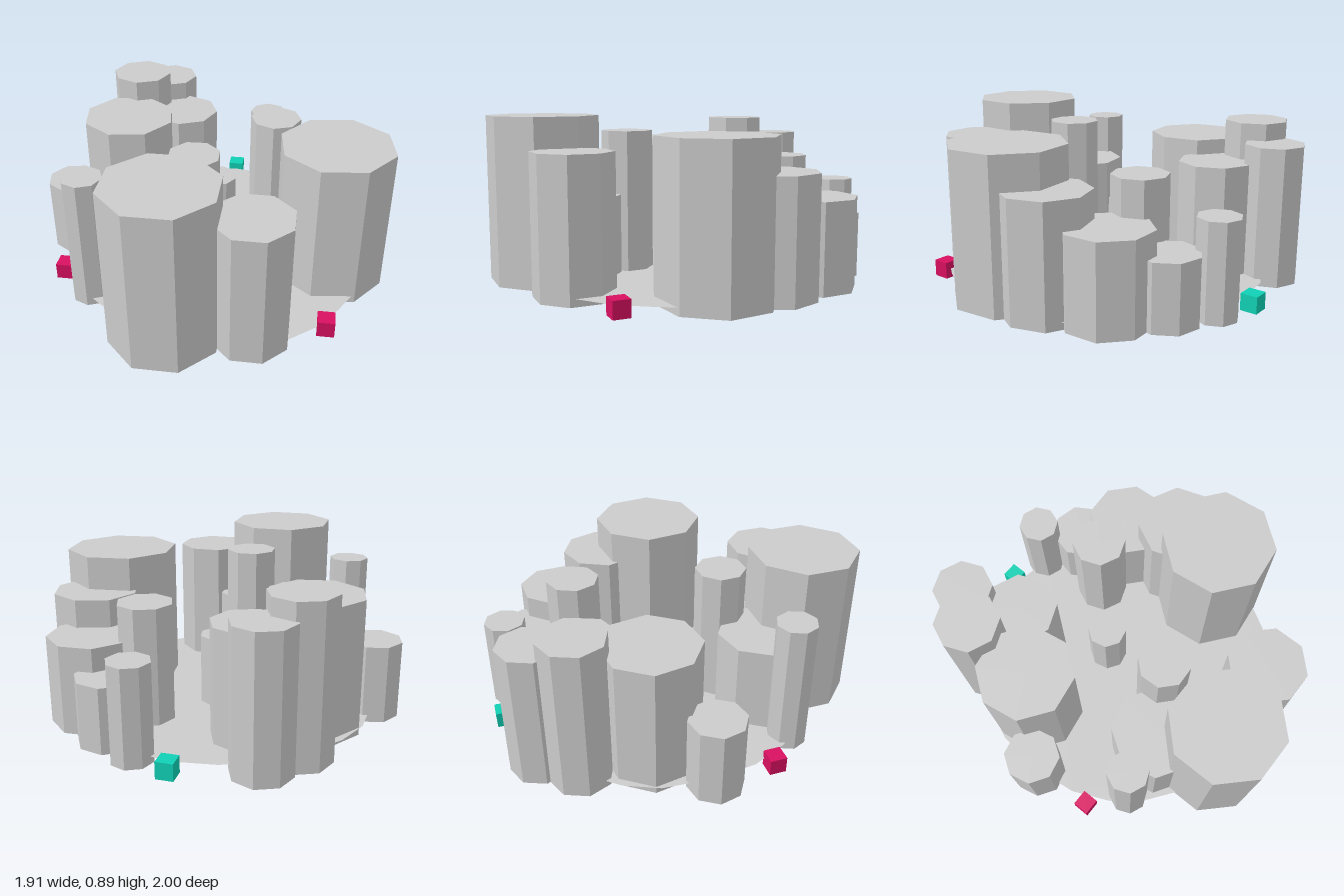
import * as THREE from 'three';

const BOTTOM = 0.01;
const PLATE_Y = 0.05;

// Each column: x, z, radius, top height, turn in degrees
const COLUMNS = [
  [-0.147, 0.72, 0.298, 0.89, 22.5],
  [0.28, 0.685, 0.21, 0.73, 22.5],
  [0.657, 0.087, 0.307, 0.815, 15.6],
  [0.698, -0.196, 0.234, 0.635, 4],
  [0.6, -0.495, 0.23, 0.485, 19.5],
  [0.42, -0.71, 0.168, 0.36, -9],
  [0.235, -0.87, 0.112, 0.52, -3],
  [0.307, -0.465, 0.148, 0.675, 2],
  [0, -0.165, 0.108, 0.43, 11],
  [-0.063, 0.275, 0.138, 0.805, 20],
  [-0.53, -0.265, 0.26, 0.73, 13],
  [-0.53, -0.64, 0.172, 0.845, 0],
  [-0.39, -0.825, 0.16, 0.755, 0],
  [-0.26, -0.55, 0.2, 0.65, 0],
  [-0.81, -0.02, 0.15, 0.43, 10],
  [-0.6, 0.47, 0.108, 0.745, 0],
  [-0.305, 0.435, 0.247, 0.525, 10],
  [-0.01, 0.54, 0.195, 0.47, 22.5],
];

// Ground outline as x, z
const OUTLINE = [
  [0.02, -0.91], [0.25, -0.87], [0.48, -0.78], [0.68, -0.62], [0.8, -0.42],
  [0.83, -0.15], [0.83, 0.15], [0.79, 0.36], [0.72, 0.48], [0.62, 0.62],
  [0.47, 0.74], [0.25, 0.8], [0, 0.82], [-0.24, 0.78], [-0.42, 0.68],
  [-0.58, 0.56], [-0.7, 0.41], [-0.79, 0.21], [-0.82, -0.02], [-0.8, -0.3],
  [-0.72, -0.48], [-0.58, -0.65], [-0.42, -0.78], [-0.2, -0.88],
];

// Faceted eight-sided tower, closed on top and open underneath
function column([x, z, radius, top, turn], material) {
  const group = new THREE.Group();
  const height = top - BOTTOM;
  const wall = new THREE.Mesh(new THREE.CylinderGeometry(radius, radius, height, 8, 1, true), material);
  wall.name = 'columnWall';
  wall.position.y = BOTTOM + height / 2;
  const cap = new THREE.Mesh(new THREE.CircleGeometry(radius, 8).rotateX(-Math.PI / 2), material);
  cap.name = 'columnTop';
  cap.position.y = top;
  group.add(wall, cap);
  group.position.set(x, 0, z);
  group.rotation.y = -THREE.MathUtils.degToRad(turn);
  return group;
}

function marker(name, x, z, color) {
  const mesh = new THREE.Mesh(
    new THREE.BoxGeometry(0.09, 0.09, 0.09),
    new THREE.MeshStandardMaterial({ color })
  );
  mesh.name = name;
  mesh.position.set(x, 0.045, z);
  return mesh;
}

export function createModel() {
  const model = new THREE.Group();
  model.name = 'columnIsland';
  const grey = new THREE.MeshStandardMaterial({ color: 0xcccccc, flatShading: true, side: THREE.DoubleSide });

  // Thin flat ground that the columns pass through
  const shape = new THREE.Shape(OUTLINE.map(([x, z]) => new THREE.Vector2(x, -z)));
  const ground = new THREE.Mesh(new THREE.ShapeGeometry(shape).rotateX(-Math.PI / 2), grey);
  ground.name = 'ground';
  ground.position.y = PLATE_Y;
  model.add(ground);

  // Cluster of columns
  const cluster = new THREE.Group();
  cluster.name = 'columns';
  COLUMNS.forEach((spec, i) => {
    const c = column(spec, grey);
    c.name = `column${i + 1}`;
    cluster.add(c);
  });
  model.add(cluster);

  // Coloured marker cubes around the rim
  model.add(
    marker('frontLeftMarker', 0.66, 0.59, 0xd81060),
    marker('frontRightMarker', -0.793, 0.315, 0xd81060),
    marker('backMarker', 0.025, -0.955, 0x10d0b4)
  );
  return model;
}
